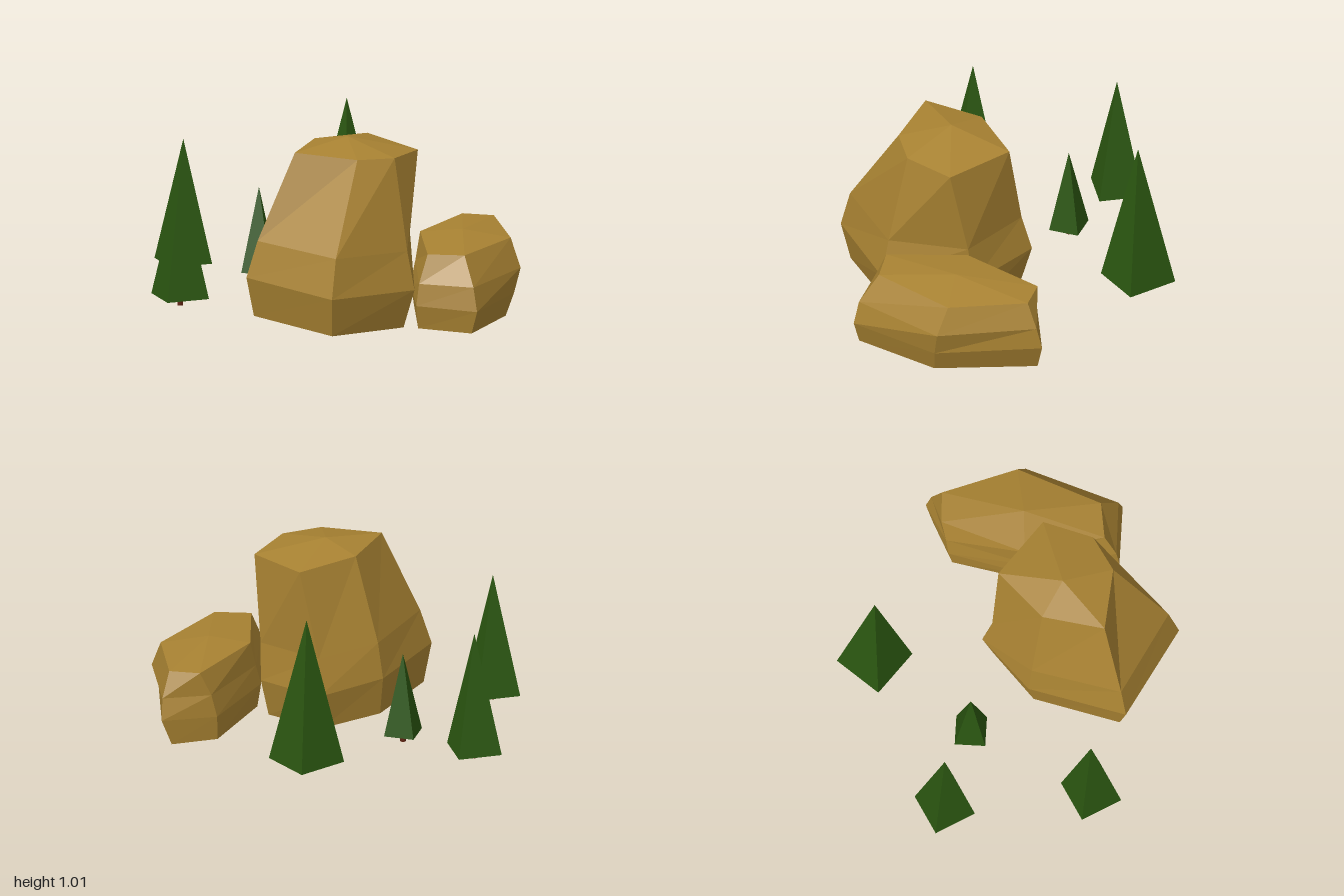
import * as THREE from 'three';

const rockMat = new THREE.MeshStandardMaterial({ color: 0xa88232, flatShading: true });
const leafMat = new THREE.MeshStandardMaterial({ color: 0x2a5510, flatShading: true });
const trunkMat = new THREE.MeshStandardMaterial({ color: 0x5f2412, flatShading: true });

// Faceted boulder: rings of [x, y, z] from bottom to top, closed by a base centre and an apex
function boulder(name, rings, apex) {
  const pos = [];
  const tri = (a, b, c) => pos.push(...a, ...b, ...c);
  const n = rings[0].length;
  const base = [0, 1, 2].map(k => rings[0].reduce((s, p) => s + p[k], 0) / n);
  const top = rings[rings.length - 1];
  for (let j = 0; j < n; j++) {
    const k = (j + 1) % n;
    tri(rings[0][k], rings[0][j], base);
    for (let i = 0; i < rings.length - 1; i++) {
      const lo = rings[i], hi = rings[i + 1];
      tri(lo[j], lo[k], hi[k]);
      tri(lo[j], hi[k], hi[j]);
    }
    tri(top[j], top[k], apex);
  }
  const geo = new THREE.BufferGeometry();
  geo.setAttribute('position', new THREE.Float32BufferAttribute(pos, 3));
  geo.computeVertexNormals();
  const mesh = new THREE.Mesh(geo, rockMat);
  mesh.name = name;
  return mesh;
}

// Four-sided pine on a short trunk
function pine(name, x, z, radius, bottom, top, turn) {
  const tree = new THREE.Group();
  tree.name = name;
  const h = top - bottom;
  const leaves = new THREE.Mesh(new THREE.ConeGeometry(radius, h, 4), leafMat);
  leaves.name = 'foliage';
  leaves.position.y = bottom + h / 2;
  const trunk = new THREE.Mesh(new THREE.CylinderGeometry(0.017, 0.017, 0.08, 6), trunkMat);
  trunk.name = 'trunk';
  trunk.position.y = bottom - 0.01;
  tree.add(leaves, trunk);
  tree.position.set(x, 0, z);
  tree.rotation.y = turn;
  return tree;
}

export function createModel() {
  const model = new THREE.Group();
  model.name = 'rocksAndPines';

  // Corners run left, front, right, then around the back
  model.add(boulder('largeRock', [
    [[-0.44, 0.08, 0.56], [-0.01, 0.045, 0.87], [0.37, 0.025, 0.58], [0.35, 0.03, 0.13], [0.03, 0.06, -0.08], [-0.26, 0.08, 0.11]],
    [[-0.48, 0.3, 0.59], [-0.01, 0.26, 0.925], [0.43, 0.24, 0.61], [0.39, 0.24, 0.11], [0.04, 0.27, -0.14], [-0.28, 0.3, 0.08]],
    [[-0.42, 0.5, 0.57], [0.01, 0.475, 0.87], [0.39, 0.45, 0.58], [0.395, 0.45, 0.14], [0.05, 0.47, -0.085], [-0.25, 0.5, 0.1]],
    [[-0.22, 0.975, 0.5], [0.12, 0.955, 0.58], [0.32, 0.945, 0.49], [0.44, 0.93, 0.23], [0.16, 0.955, -0.04], [-0.12, 0.975, 0.17]],
  ], [0.06, 1.02, 0.3]));

  // Corners run front left, front right, right, back right, back left, left
  model.add(boulder('smallRock', [
    [[0.45, 0.03, 0.62], [0.74, 0.015, 0.67], [0.915, 0.005, 0.22], [0.82, 0.03, -0.33], [0.58, 0.04, -0.25], [0.42, 0.045, 0.2]],
    [[0.44, 0.16, 0.645], [0.77, 0.14, 0.695], [0.96, 0.13, 0.21], [0.87, 0.18, -0.365], [0.58, 0.18, -0.27], [0.4, 0.18, 0.2]],
    [[0.455, 0.28, 0.63], [0.75, 0.27, 0.67], [0.995, 0.265, 0.19], [0.87, 0.3, -0.335], [0.61, 0.31, -0.28], [0.425, 0.3, 0.17]],
    [[0.5, 0.43, 0.57], [0.7, 0.425, 0.57], [0.94, 0.42, 0.14], [0.84, 0.44, -0.28], [0.67, 0.445, -0.3], [0.45, 0.45, 0.13]],
  ], [0.68, 0.47, 0.15]));

  // Pines behind and beside the rocks
  model.add(
    pine('tallPine', 0.035, -0.725, 0.205, 0.155, 0.98, 0),
    pine('backLeftPine', -0.843, -0.43, 0.17, 0.14, 0.82, 1.18),
    pine('frontLeftPine', -0.843, 0.365, 0.17, 0.14, 0.82, 1.18),
    pine('smallPine', -0.43, -0.248, 0.117, 0.135, 0.6, 0.63),
  );
  return model;
}
